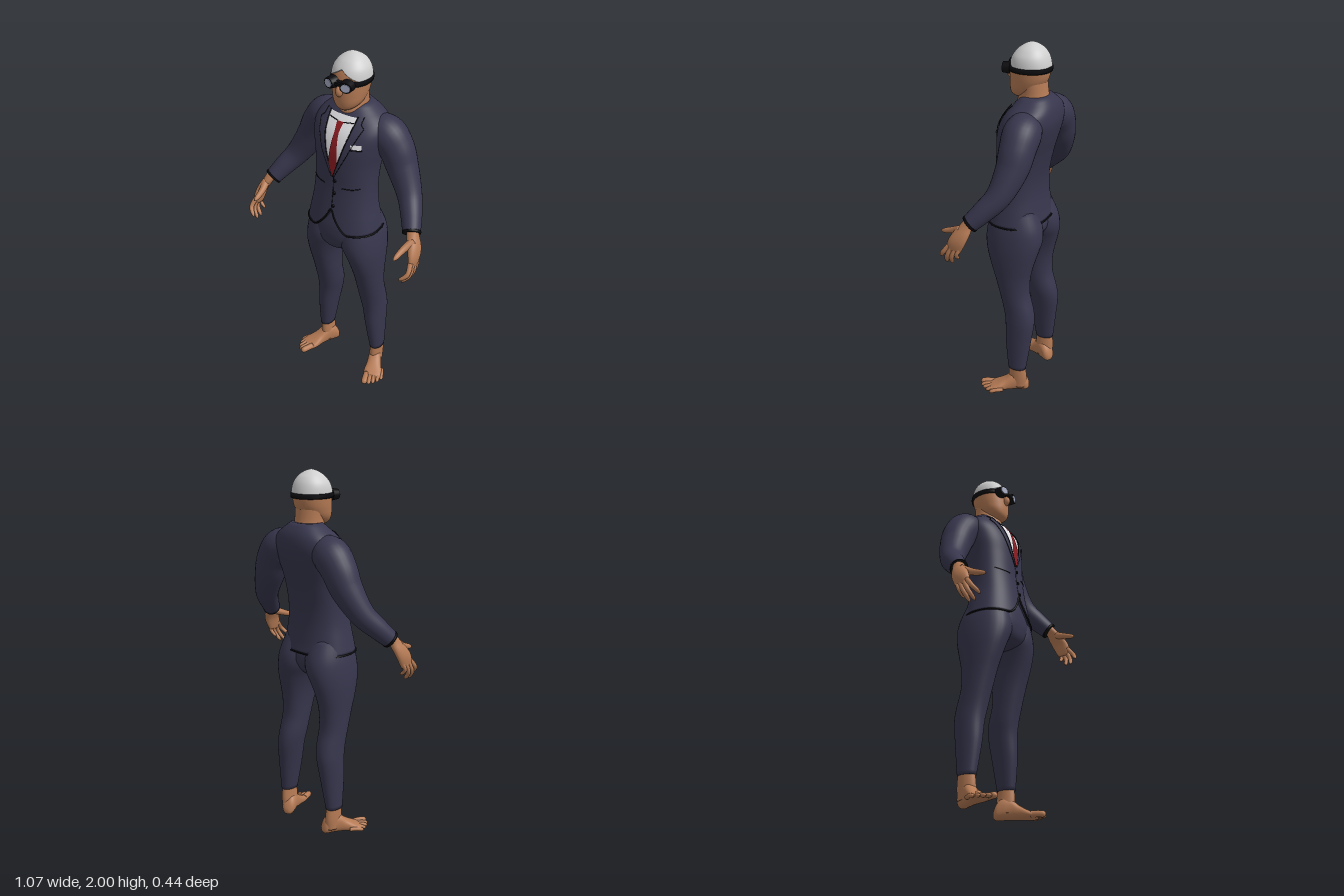
import * as THREE from 'three';

const mat = (name, color, extra = {}) => Object.assign(new THREE.MeshStandardMaterial({ color, ...extra }), { name });
const M = {
  suit: mat('navy suit', 0x37364d), skin: mat('skin', 0xb67b55), cap: mat('silver cap', 0xcfcfcf),
  black: mat('black trim', 0x0c0c10), tie: mat('red tie', 0x8c1c22), white: mat('white cloth', 0xe6e6ea),
  lens: mat('pale lens', 0xa9aec6),
};
const V = (x, y, z) => new THREE.Vector3(x, y, z);
const mesh = (name, geo, m) => Object.assign(new THREE.Mesh(geo, m), { name });

// Smooth lookup in a table whose first column is the key
function row(T, y) {
  let i = 0;
  while (i < T.length - 2 && y > T[i + 1][0]) i++;
  const h = T[i + 1][0] - T[i][0], t = THREE.MathUtils.clamp((y - T[i][0]) / h, 0, 1);
  const slope = (j, k) => {
    const a = T[Math.max(j - 1, 0)], b = T[Math.min(j + 1, T.length - 1)];
    return (b[k] - a[k]) / (b[0] - a[0]);
  };
  return T[i].map((p, k) => {
    const q = T[i + 1][k], d = q - p, s = t * t * (3 - 2 * t);
    return p + d * s + h * (t * (1 - t) * (1 - t) * slope(i, k) - t * t * (1 - t) * slope(i + 1, k));
  });
}

// Grid surface; a closed one wraps around and is capped at both ends
function surface(nu, nv, f, closed = true) {
  const pos = [], idx = [], w = closed ? nu : nu + 1;
  for (let j = 0; j <= nv; j++) for (let i = 0; i < w; i++) pos.push(...f(i / nu, j / nv).toArray());
  for (let j = 0; j < nv; j++) for (let i = 0; i < nu; i++) {
    const a = j * w + i, b = j * w + (i + 1) % w;
    idx.push(a, a + w, b, b, a + w, b + w);
  }
  if (closed) for (const j of [0, nv]) {
    const c = V(0, 0, 0), n = pos.length / 3;
    for (let i = 0; i < nu; i++) c.add(f(i / nu, j / nv));
    pos.push(...c.divideScalar(nu).toArray());
    for (let i = 0; i < nu; i++) {
      const a = j * w + i, b = j * w + (i + 1) % w;
      idx.push(...(j ? [n, b, a] : [n, a, b]));
    }
  }
  const g = new THREE.BufferGeometry();
  g.setAttribute('position', new THREE.Float32BufferAttribute(pos, 3));
  g.setIndex(idx);
  g.computeVertexNormals();
  return g;
}

// Rounded cross-sections [y, xMin, xMax, zFront, zBack]
const pw = (c, n) => Math.sign(c) * Math.abs(c) ** (2 / n);
function loftPoint(T, n, u, y) {
  const [, x0, x1, zf, zb] = row(T, y), a = u * Math.PI * 2;
  return V((x0 + x1) / 2 + (x1 - x0) / 2 * pw(Math.cos(a), n), y, (zf + zb) / 2 + (zf - zb) / 2 * pw(Math.sin(a), n));
}
function loft(T, { n = 2, nu = 32, nv = 28, hem = () => T[0][0] } = {}) {
  const top = T[T.length - 1][0];
  return surface(nu, nv, (u, v) => loftPoint(T, n, u, THREE.MathUtils.lerp(hem(u), top, v)));
}
const sym = T => T.map(([y, r, f, b]) => [y, -r, r, f, b]);

// Tapered tube through points, with an optional rounded tip
function sweep(pts, radii, { nu = 12, nv = 14, round = true } = {}) {
  const curve = new THREE.CatmullRomCurve3(pts.map(p => V(...p)));
  const R = radii.map((r, i) => [i / (radii.length - 1), r]);
  const ref = Math.abs(curve.getTangent(0).z) < 0.8 ? V(0, 0, 1) : V(0, 1, 0);
  return surface(nu, nv, (u, v) => {
    const t = curve.getTangent(v), N = t.clone().cross(ref).normalize(), B = t.clone().cross(N);
    let r = row(R, v)[1];
    if (round && v > 0.78) r *= Math.sqrt(Math.max(0.01, 1 - ((v - 0.78) / 0.22) ** 2));
    const a = u * Math.PI * 2;
    return curve.getPoint(v).addScaledVector(N, r * Math.cos(a)).addScaledVector(B, -r * Math.sin(a));
  });
}

// Jacket body
const NB = 2.35;
const TORSO = sym([[1.04, 0.212, 0.147, -0.167], [1.1, 0.2, 0.137, -0.156], [1.2, 0.181, 0.12, -0.146],
  [1.3, 0.175, 0.106, -0.15], [1.42, 0.18, 0.1, -0.175], [1.52, 0.198, 0.092, -0.203], [1.6, 0.21, 0.066, -0.219],
  [1.66, 0.187, 0.026, -0.215], [1.7, 0.135, -0.005, -0.2], [1.735, 0.085, -0.035, -0.172]]);
const hem = u => {
  const a = u * Math.PI * 2, x = 0.21 * Math.abs(pw(Math.cos(a), NB));
  return 1.04 + (Math.sin(a) > 0 ? 0.13 * Math.max(0, 1 - x / 0.11) ** 1.5 : 0);
};
const frontPoint = (x, y, off) => {
  const [, , rx, zf, zb] = row(TORSO, y), k = Math.min(1, Math.abs(x / rx));
  return V(x, y, (zf + zb) / 2 + (zf - zb) / 2 * (1 - k ** NB) ** (1 / NB) + off);
};
// Thin panel lying on the chest, rows [y, xMin, xMax]
const panel = (rows, off, nu = 8, nv = 24) => surface(nu, nv, (u, v) => {
  const y = THREE.MathUtils.lerp(rows[0][0], rows[rows.length - 1][0], v);
  let i = 0;
  while (i < rows.length - 2 && y > rows[i + 1][0]) i++;
  const t = (y - rows[i][0]) / (rows[i + 1][0] - rows[i][0]), m = k => THREE.MathUtils.lerp(rows[i][k], rows[i + 1][k], t);
  return frontPoint(THREE.MathUtils.lerp(m(2), m(1), u), y, off);
}, false);
// Dark seam along chest points [x, y]
function seam(name, pts, off = 0.004, r = 0.0026) {
  const line = [];
  for (let i = 0; i < pts.length - 1; i++) for (let k = 0; k < 6; k++) {
    const m = c => THREE.MathUtils.lerp(pts[i][c], pts[i + 1][c], k / 6);
    line.push(frontPoint(m(0), m(1), off));
  }
  line.push(frontPoint(...pts[pts.length - 1], off));
  return mesh(name, new THREE.TubeGeometry(new THREE.CatmullRomCurve3(line), 40, r, 5), M.black);
}

function limbs() {
  const g = new THREE.Group();
  // Sleeve and cuff
  const arm = [[0.1, 1.6, -0.1], [0.185, 1.583, -0.11], [0.243, 1.52, -0.112], [0.288, 1.43, -0.105],
    [0.365, 1.3, -0.065], [0.418, 1.225, -0.005], [0.457, 1.165, 0.05]];
  g.add(mesh('sleeve', sweep(arm, [0.08, 0.099, 0.094, 0.085, 0.066, 0.056, 0.047], { nu: 28, nv: 40, round: false }), M.suit));
  g.add(mesh('cuffTrim', sweep([[0.453, 1.171, 0.044], [0.455, 1.168, 0.047], [0.458, 1.163, 0.052]], [0.049, 0.05, 0.048], { nu: 28, nv: 3, round: false }), M.black));
  // Hand
  g.add(mesh('palm', loft([[1.012, 0.502, 0.524, 0.14, 0.08], [1.04, 0.495, 0.53, 0.152, 0.064], [1.08, 0.485, 0.531, 0.146, 0.045],
    [1.12, 0.465, 0.521, 0.125, 0.032], [1.16, 0.442, 0.502, 0.095, 0.025], [1.19, 0.43, 0.49, 0.075, 0.01]], { n: 2.2, nu: 24, nv: 16 }), M.skin));
  [[0.14, 0.965, 0.203], [0.12, 0.935, 0.172], [0.098, 0.935, 0.14], [0.078, 0.968, 0.103]].forEach(([z, ty, tz], i) =>
    g.add(mesh('finger', sweep([[0.513, 1.05, z], [0.52, (1.04 + ty) / 2, (z + tz) / 2 + 0.005], [0.483, ty, tz]], [0.014, 0.0125, 0.01].map(r => i == 3 ? r * 0.85 : r)), M.skin)));
  g.add(mesh('thumb', sweep([[0.485, 1.14, 0.08], [0.465, 1.115, 0.14], [0.457, 1.09, 0.218]], [0.024, 0.018, 0.012]), M.skin));
  // Trouser leg
  g.add(mesh('trouserLeg', loft([[0.155, 0.145, 0.22, -0.025, -0.13], [0.33, 0.115, 0.222, -0.005, -0.153], [0.45, 0.093, 0.222, 0, -0.166],
    [0.52, 0.081, 0.22, 0.012, -0.158], [0.62, 0.075, 0.22, 0.037, -0.132], [0.72, 0.069, 0.222, 0.067, -0.133], [0.8, 0.058, 0.225, 0.095, -0.15],
    [0.88, 0.034, 0.226, 0.12, -0.172], [0.95, 0.0, 0.222, 0.132, -0.186], [1.02, -0.01, 0.212, 0.125, -0.178], [1.12, 0, 0.185, 0.1, -0.135]], { n: 2.15, nv: 48 }), M.suit));
  // Bare foot, turned outward
  g.add(mesh('ankle', loft([[0.03, 0.14, 0.21, -0.03, -0.13], [0.1, 0.146, 0.213, -0.025, -0.134], [0.2, 0.153, 0.212, -0.035, -0.122]]), M.skin));
  const foot = new THREE.Group();
  foot.name = 'foot';
  foot.position.set(0.167, 0, -0.09);
  foot.rotation.y = 0.44;
  const sole = [[-0.05, -0.016, 0.016, -0.012, -0.045], [-0.036, -0.033, 0.033, 0, -0.08], [0, -0.038, 0.038, 0, -0.115], [0.045, -0.037, 0.04, 0, -0.11],
    [0.085, -0.041, 0.046, 0, -0.078], [0.13, -0.05, 0.058, 0, -0.051], [0.165, -0.046, 0.056, -0.002, -0.035], [0.185, -0.034, 0.042, -0.008, -0.024]];
  foot.add(mesh('footBody', loft(sole, { n: 2.3 }).rotateX(Math.PI / 2), M.skin));
  [[-0.033, 0.23, 0.018], [-0.007, 0.228, 0.0125], [0.016, 0.217, 0.012], [0.038, 0.2, 0.0115], [0.058, 0.178, 0.0115]].forEach(([x, z, r]) =>
    foot.add(mesh('toe', sweep([[x * 0.9, 0.022, z - 0.08], [x, 0.022, z - 0.04], [x * 1.04, r, z]], [r, r, r * 0.95]), M.skin)));
  g.add(foot);
  // Lapel with seams
  g.add(mesh('lapel', panel([[1.365, 0, 0.008], [1.5, 0.045, 0.075], [1.6, 0.072, 0.115], [1.645, 0.079, 0.132], [1.66, 0.081, 0.118], [1.69, 0.083, 0.11]], 0.007), M.suit));
  g.add(seam('lapelInnerSeam', [[0, 1.365], [0.045, 1.5], [0.072, 1.6], [0.081, 1.66], [0.083, 1.69]], 0.007, 0.003));
  g.add(seam('lapelOuterSeam', [[0.008, 1.365], [0.075, 1.5], [0.115, 1.6], [0.132, 1.645], [0.112, 1.66], [0.11, 1.69]], 0.006, 0.002));
  g.add(seam('shirtCollarSeam', [[0.016, 1.655], [0.074, 1.662]]));
  g.add(seam('pocketSeam', [[0.055, 1.308], [0.11, 1.31], [0.145, 1.316]], 0.002));
  // Goggle cup and lens
  const eye = new THREE.Group();
  eye.name = 'goggle';
  eye.position.set(0.047, 1.866, 0.047);
  eye.rotation.y = 0.25;
  eye.scale.y = 0.85;
  eye.add(mesh('goggleCup', new THREE.CylinderGeometry(0.032, 0.038, 0.04, 24).rotateX(Math.PI / 2), M.black));
  const lens = mesh('lens', new THREE.CylinderGeometry(0.024, 0.025, 0.004, 24).rotateX(Math.PI / 2), M.lens);
  lens.position.z = 0.0205;
  eye.add(lens);
  g.add(eye);
  return g;
}

export function createModel() {
  const root = new THREE.Group();
  root.name = 'suitedMan';
  const left = limbs(), right = limbs();
  left.name = 'leftSide';
  right.name = 'rightSide';
  right.scale.x = -1;
  root.add(left, right);

  // Jacket and its hem
  root.add(mesh('jacket', loft(TORSO, { n: NB, nu: 72, nv: 44, hem }), M.suit));
  const hemPts = Array.from({ length: 72 }, (_, i) => loftPoint(TORSO, NB, i / 72, hem(i / 72)));
  root.add(mesh('jacketHem', new THREE.TubeGeometry(new THREE.CatmullRomCurve3(hemPts, true), 144, 0.005, 6, true), M.black));
  root.add(mesh('trouserSeat', loft(sym([[0.885, 0.03, 0.06, -0.08], [0.92, 0.11, 0.115, -0.12], [0.98, 0.185, 0.134, -0.155],
    [1.05, 0.198, 0.133, -0.15], [1.12, 0.185, 0.12, -0.14], [1.2, 0.165, 0.1, -0.13]]), { n: 2.2, nu: 40 }), M.suit));

  // Shirt, tie, pocket square, buttons
  root.add(mesh('shirt', panel([[1.365, -0.001, 0.001], [1.5, -0.047, 0.047], [1.6, -0.074, 0.074], [1.685, -0.085, 0.085]], 0.003, 14), M.white));
  root.add(mesh('tie', panel([[1.367, -0.002, 0.002], [1.43, -0.024, 0.024], [1.48, -0.025, 0.025], [1.61, -0.013, 0.013], [1.625, -0.015, 0.015], [1.658, -0.02, 0.02]], 0.009), M.tie));
  root.add(mesh('pocketSquare', panel([[1.545, 0.093, 0.145], [1.57, 0.09, 0.145]], 0.007, 6, 3), M.white));
  root.add(seam('breastPocketSeam', [[0.09, 1.54], [0.148, 1.543]], 0.006));
  root.add(seam('frontSeam', [[0.003, 1.365], [0.003, 1.175]], 0, 0.0018));
  for (const y of [1.34, 1.268, 1.193]) {
    const b = mesh('button', new THREE.CylinderGeometry(0.009, 0.009, 0.008, 14).rotateX(Math.PI / 2), M.black);
    b.position.copy(frontPoint(0.012, y, 0.003));
    root.add(b);
  }

  // Neck, head, nose
  root.add(mesh('neck', loft(sym([[1.6, 0.08, -0.03, -0.16], [1.69, 0.083, 0.003, -0.168], [1.75, 0.078, -0.015, -0.158], [1.82, 0.08, -0.02, -0.15]])), M.skin));
  root.add(mesh('head', loft(sym([[1.715, 0.025, 0.022, -0.03], [1.73, 0.053, 0.036, -0.07], [1.76, 0.078, 0.043, -0.115], [1.8, 0.09, 0.044, -0.15],
    [1.84, 0.096, 0.042, -0.165], [1.88, 0.098, 0.038, -0.168], [1.93, 0.089, 0.02, -0.155], [1.97, 0.055, -0.015, -0.125]]), { n: 2.1 }), M.skin));
  const nose = mesh('nose', new THREE.SphereGeometry(1, 16, 12), M.skin);
  nose.scale.set(0.019, 0.03, 0.025);
  nose.position.set(0, 1.828, 0.044);
  root.add(nose);

  // Swim cap, strap and nose bridge
  root.add(mesh('swimCap', loft(sym([[1.84, 0.101, 0.047, -0.171], [1.88, 0.103, 0.044, -0.173], [1.93, 0.094, 0.027, -0.161], [1.965, 0.07, 0, -0.139],
    [1.985, 0.045, -0.028, -0.112], [1.995, 0.024, -0.048, -0.092], [2.0, 0.004, -0.066, -0.074]]), {
    n: 2.1, nu: 48, nv: 40,
    hem: u => Math.sin(u * Math.PI * 2) > 0 ? 1.87 + 0.065 * (1 - Math.abs(Math.cos(u * Math.PI * 2))) : 1.87,
  }), M.cap));
  root.add(mesh('strap', loft(sym([[1.858, 0.105, 0.049, -0.176], [1.871, 0.107, 0.05, -0.178], [1.884, 0.105, 0.047, -0.176]]), { n: 2.1, nu: 48, nv: 2 }), M.black));
  const bridge = mesh('goggleBridge', new THREE.BoxGeometry(0.04, 0.014, 0.016), M.black);
  bridge.position.set(0, 1.87, 0.054);
  root.add(bridge);
  return root;
}
